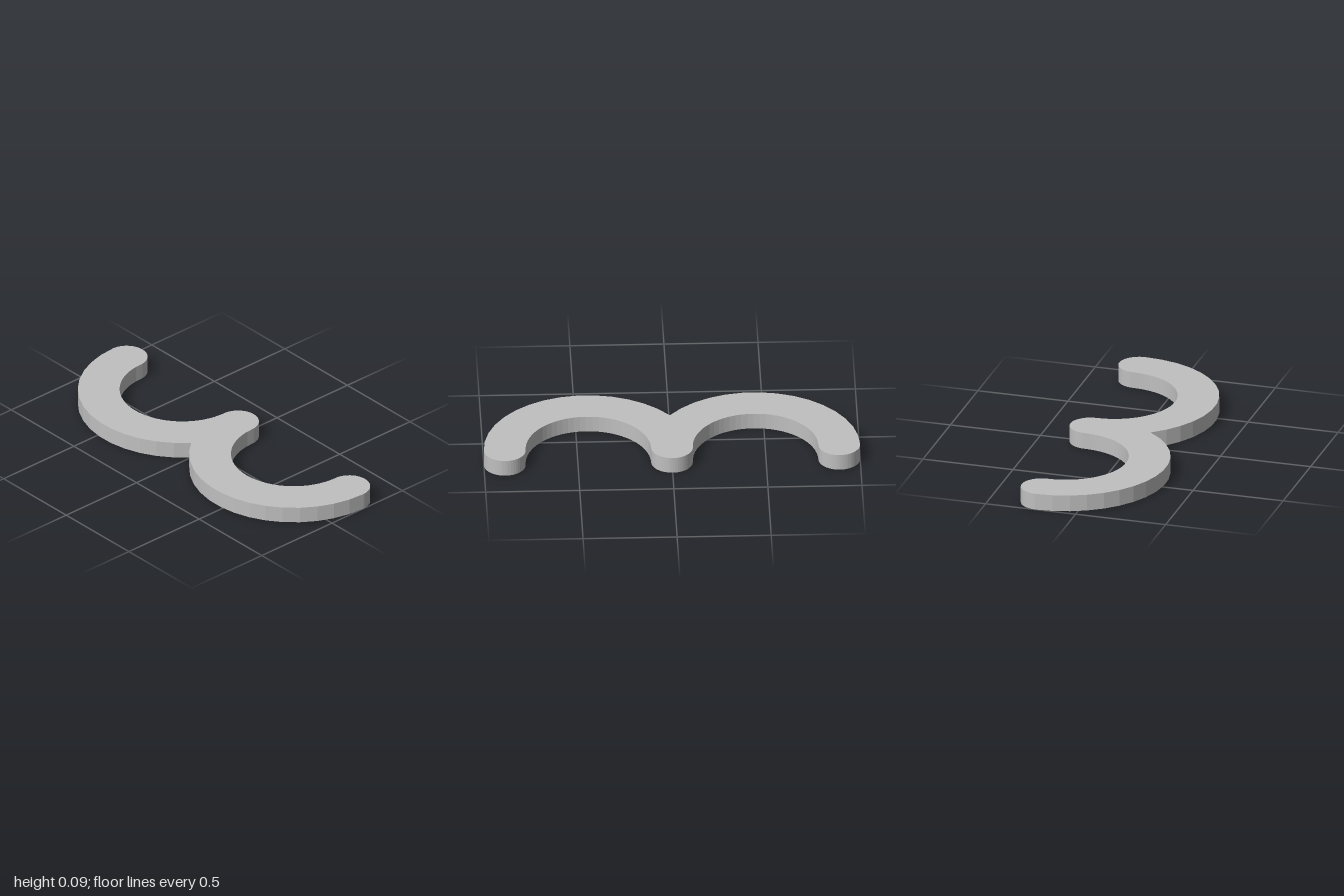
import * as THREE from 'three';

export function createModel() {
  const unit = 1 / 9; // cap radius; every other size is a multiple of it
  const height = 0.09;
  const zMid = 2 * unit; // line through all arc centres
  const notch = Math.atan2(3, 4) * 180 / Math.PI; // where the outer arcs meet

  // Appends an arc (degrees) to the outline, leaving out its last point
  const points = [];
  const arc = (cx, r, from, to, steps) => {
    for (let i = 0; i < steps; i++) {
      const a = THREE.MathUtils.degToRad(from + (to - from) * i / steps);
      points.push(new THREE.Vector2(cx + r * Math.cos(a), zMid + r * Math.sin(a)));
    }
  };

  // Outer edge: two arcs meeting in a notch
  arc(-4 * unit, 5 * unit, 180, 360 - notch, 15);
  arc(4 * unit, 5 * unit, 180 + notch, 360, 15);
  // Inner edge: rounded tips joined by hollow half circles
  arc(8 * unit, unit, 0, 180, 24);
  arc(4 * unit, 3 * unit, 360, 180, 32);
  arc(0, unit, 0, 180, 24);
  arc(-4 * unit, 3 * unit, 360, 180, 32);
  arc(-8 * unit, unit, 0, 180, 24);

  const geometry = new THREE.ExtrudeGeometry(new THREE.Shape(points), {
    depth: height, bevelEnabled: false,
  });
  geometry.rotateX(-Math.PI / 2);

  const grey = new THREE.MeshStandardMaterial({ color: 0xc0c0c0 });
  grey.name = 'light grey';
  const plate = new THREE.Mesh(geometry, grey);
  plate.name = 'doubleArcPlate';

  const group = new THREE.Group();
  group.name = 'doubleArcBracket';
  group.add(plate);
  return group;
}
